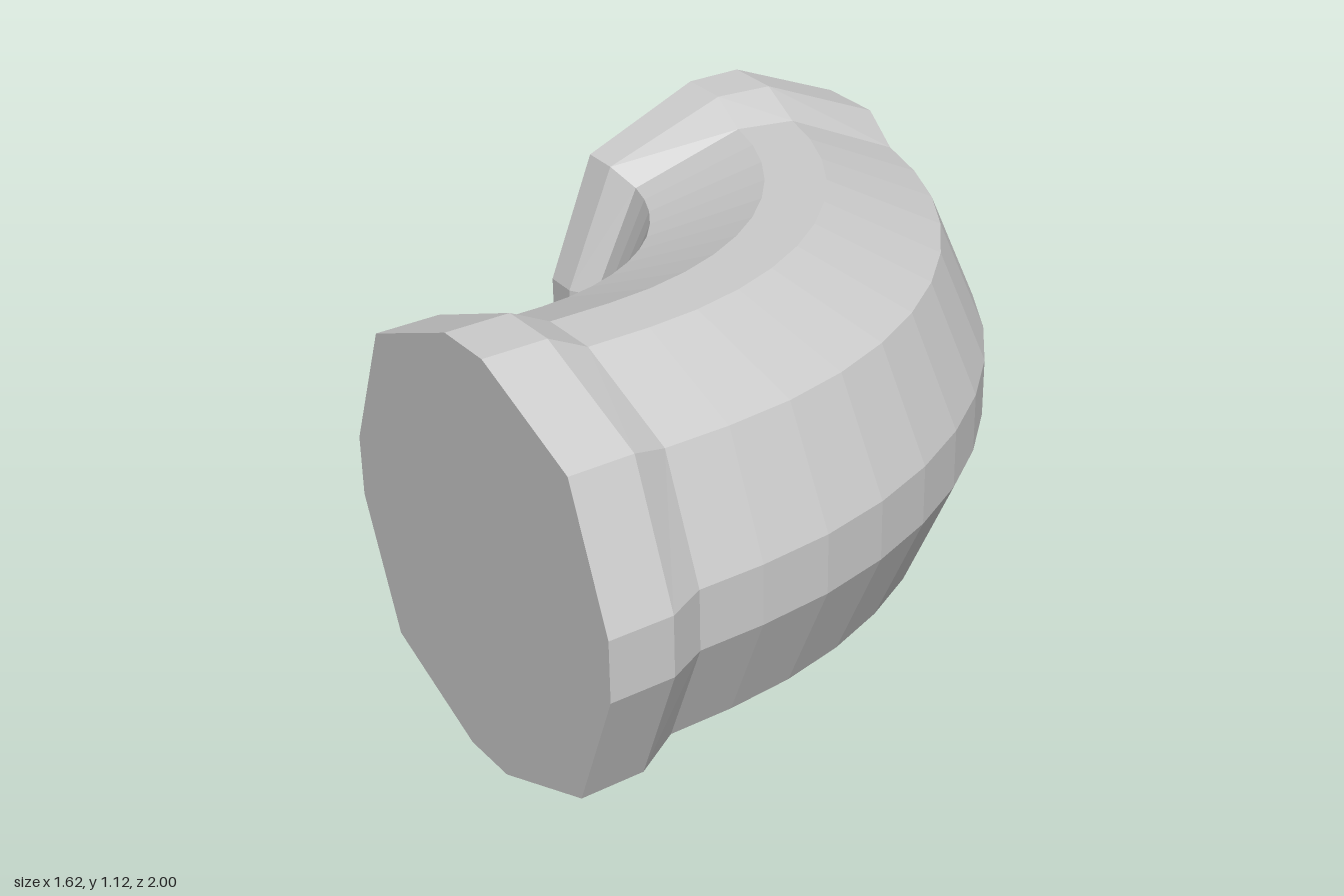
import * as THREE from 'three';

const MID_Y = 0.564;
const BEND = { x: -0.766, z: 0.58, radius: 1.016 };
const COLLAR = [0.562, 0.423];
const PIPE = [0.51, 0.384];
const FLAT = 0.081;

// Twelve-sided section: a short flat on each axis, joined by a corner point.
function section([r, corner]) {
  const points = [];
  for (let k = 0; k < 4; k++) {
    const c = Math.round(Math.cos(k * Math.PI / 2));
    const s = Math.round(Math.sin(k * Math.PI / 2));
    for (const [u, v] of [[r, -FLAT], [r, FLAT], [corner, corner]]) {
      points.push([u * c - v * s, u * s + v * c]);
    }
  }
  return points;
}

// A ring of points standing across the path, turned by angle about y.
function ring(x, z, angle, size) {
  return section(size).map(([u, v]) =>
    [x + u * Math.cos(angle), MID_Y + v, z - u * Math.sin(angle)]);
}

function arcRing(degrees, size) {
  const a = THREE.MathUtils.degToRad(degrees);
  return ring(BEND.x + BEND.radius * Math.cos(a), BEND.z - BEND.radius * Math.sin(a), a, size);
}

// Skin between successive rings, with optional flat end caps.
function loft(rings, capStart, capEnd) {
  const n = rings[0].length;
  const index = [];
  for (let i = 0; i < rings.length - 1; i++) {
    for (let j = 0; j < n; j++) {
      const k = (j + 1) % n;
      const a = i * n + j, b = i * n + k, c = b + n, d = a + n;
      index.push(a, d, c, a, c, b);
    }
  }
  const last = (rings.length - 1) * n;
  for (let j = 1; j < n - 1; j++) {
    if (capStart) index.push(0, j, j + 1);
    if (capEnd) index.push(last, last + j + 1, last + j);
  }
  const geometry = new THREE.BufferGeometry();
  geometry.setAttribute('position', new THREE.Float32BufferAttribute(rings.flat(2), 3));
  geometry.setIndex(index);
  const faceted = geometry.toNonIndexed();
  faceted.computeVertexNormals();
  return faceted;
}

export function createModel() {
  const group = new THREE.Group();
  group.name = 'pipeElbow';
  const grey = new THREE.MeshStandardMaterial({ color: 0xcccccc, flatShading: true });
  grey.name = 'light grey';

  const add = (name, geometry) => {
    const mesh = new THREE.Mesh(geometry, grey);
    mesh.name = name;
    group.add(mesh);
  };

  // Front collar with its taper down to the pipe
  const neck = ring(0.25, 0.725, 0, PIPE);
  add('frontCollar', loft([
    ring(0.25, 1, 0, COLLAR), ring(0.25, 0.83, 0, COLLAR), neck,
  ], true, false));

  // Curved pipe in even steps
  const bend = [neck];
  for (let k = 0; k <= 10; k++) bend.push(arcRing(1.2 + 7.5 * k, PIPE));
  add('bend', loft(bend, false, false));

  // Side collar, ending in a flat face toward -x
  add('sideCollar', loft([
    arcRing(76.2, PIPE), arcRing(83.9, COLLAR), ring(-0.812, -0.437, Math.PI / 2, COLLAR),
  ], false, true));

  return group;
}
